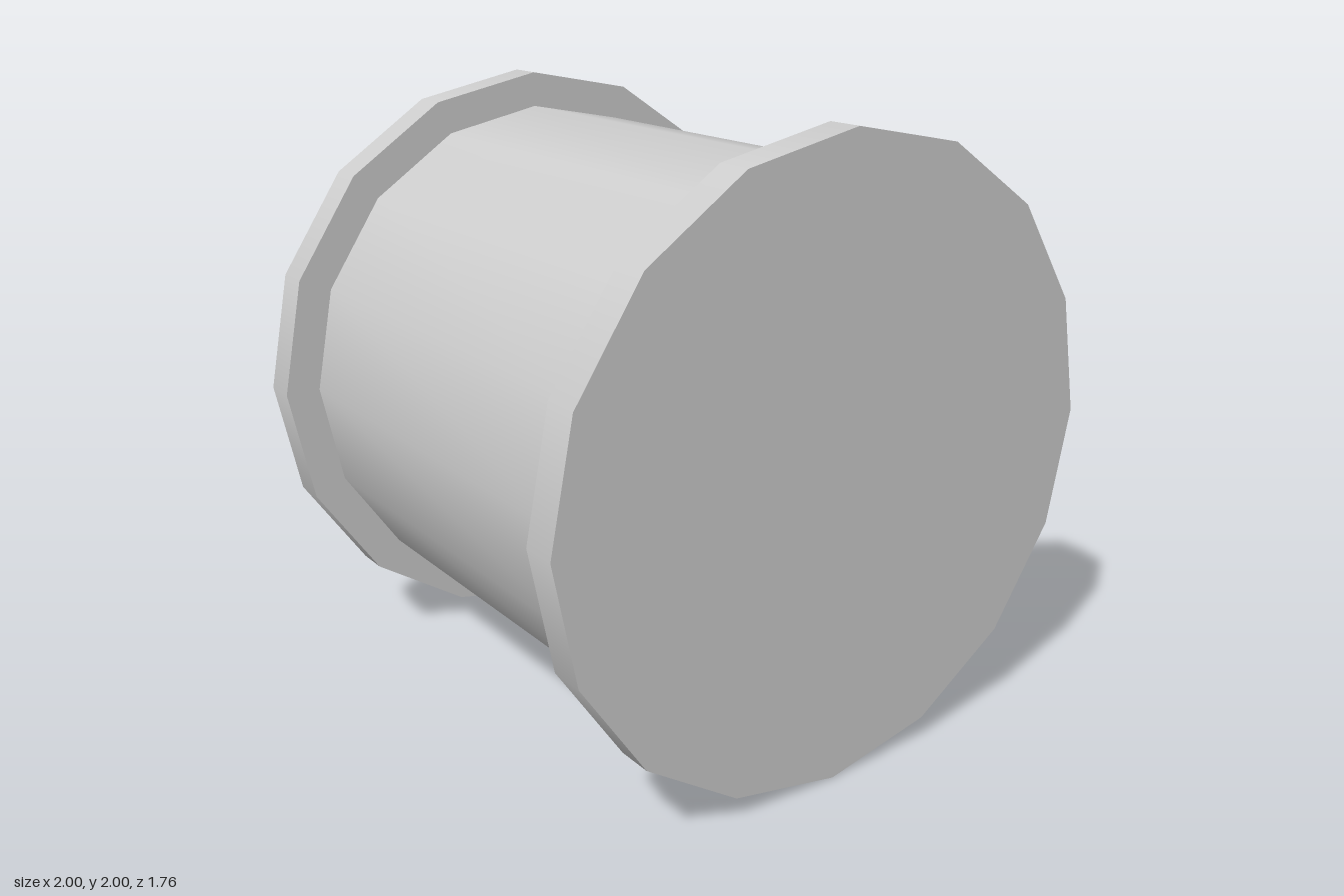
import * as THREE from 'three';

const SIDES = 16;
const HALF_LENGTH = 0.88;
const FLANGE_THICKNESS = 0.115;

export function createModel() {
  const group = new THREE.Group();
  group.name = 'spool';

  const grey = new THREE.MeshStandardMaterial({ color: 0xcccccc });
  grey.name = 'light grey';

  // Cylinder lying along z, centred at the given depth
  const addDrum = (name, radius, length, z, open = false) => {
    const geometry = new THREE.CylinderGeometry(radius, radius, length, SIDES, 1, open);
    geometry.rotateX(Math.PI / 2);
    const mesh = new THREE.Mesh(geometry, grey);
    mesh.name = name;
    mesh.position.set(0, 1, z);
    group.add(mesh);
  };

  // Barrel runs between the inner faces of the flanges
  addDrum('barrel', 0.883, 2 * (HALF_LENGTH - FLANGE_THICKNESS), 0, true);

  // Wider end discs
  const flangeZ = HALF_LENGTH - FLANGE_THICKNESS / 2;
  addDrum('frontFlange', 1, FLANGE_THICKNESS, flangeZ);
  addDrum('backFlange', 1, FLANGE_THICKNESS, -flangeZ);

  return group;
}
